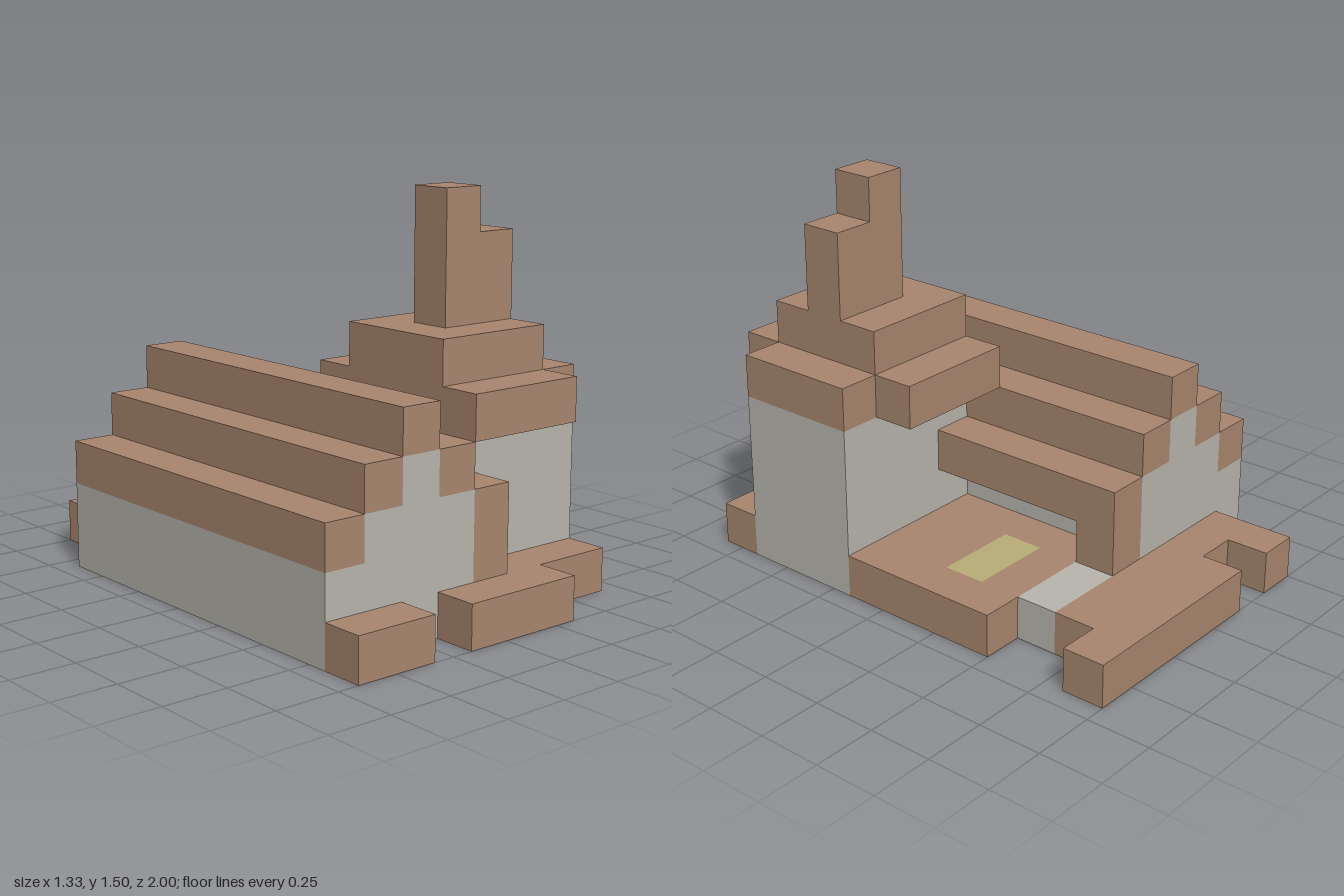
import * as THREE from 'three';
import { mergeGeometries } from 'three/addons/utils/BufferGeometryUtils.js';

// All parts are blocks on a grid of 1/6 unit cells; only the outer shell is built, open underneath.
const CELL = 1 / 6;

const makeMaterial = (name, color) => {
  const m = new THREE.MeshStandardMaterial({ color, side: THREE.DoubleSide });
  m.name = name;
  return m;
};

// Face directions with the rotation that turns a +z plane towards them
const FACES = [
  [1, 0, 0, 0, Math.PI / 2], [-1, 0, 0, 0, -Math.PI / 2],
  [0, 1, 0, -Math.PI / 2, 0], [0, -1, 0, Math.PI / 2, 0],
  [0, 0, 1, 0, 0], [0, 0, -1, 0, Math.PI],
];

export function createModel() {
  const wood = makeMaterial('brown wood', 0xa8866e);
  const plaster = makeMaterial('grey plaster', 0xb8b5ad);
  const straw = makeMaterial('straw', 0xb8ae78);

  // Gabled roof: one long bar per step, mirrored about the ridge
  const roofBars = [[-2, -1, 4, 5, -4, 5]];
  for (let i = 1; i <= 2; i++) {
    roofBars.push([-2 - i, -1 - i, 4 - i, 5 - i, -4, 5]);
    if (i === 1) roofBars.push([-1, 0, 3, 4, -4, 5]);
  }

  // Boxes are [x0, x1, y0, y1, z0, z1] in cells
  const parts = [
    ['houseWalls', plaster, [[-4, 0, 0, 2, -4, 5], [-3, 0, 2, 3, -4, 5], [-2, -1, 3, 4, -4, 5]]],
    ['houseRoof', wood, roofBars],
    ['sideEave', wood, [[0, 1, 2, 3, -4, 1]]],
    ['eavePosts', wood, [[0, 1, 0, 3, -4, -3], [0, 1, 0, 3, 4, 5]]],
    ['towerWalls', plaster, [[0, 4, 0, 4, 1, 4]]],
    ['towerRoof', wood, [[0, 4, 4, 5, 1, 4], [0, 3, 4, 5, 0, 5], [0, 3, 5, 6, 1, 4]]],
    ['chimney', wood, [[1, 2, 6, 9, 2, 3], [2, 3, 6, 8, 2, 3]]],
    ['sideTerrace', wood, [[0, 4, 0, 1, -3, 1]]],
    ['strawPatch', straw, [[1, 3, 0, 1, -2, -1]]],
    ['stoneSlab', plaster, [[1, 3, 0, 1, -4, -3]]],
    ['frontTerrace', wood, [[0, 4, 0, 1, 4, 5], [-1, 2, 0, 1, 5, 6], [-4, -2, 0, 1, 5, 6]]],
    ['backTerrace', wood, [[-3, 3, 0, 1, -5, -4], [-3, -2, 0, 1, -6, -5], [-1, 4, 0, 1, -6, -5]]],
  ];

  // Fill the grid; later parts replace earlier ones
  const cells = new Map();
  const key = (x, y, z) => `${x},${y},${z}`;
  parts.forEach(([, , boxes], part) => {
    for (const [x0, x1, y0, y1, z0, z1] of boxes)
      for (let x = x0; x < x1; x++)
        for (let y = y0; y < y1; y++)
          for (let z = z0; z < z1; z++) cells.set(key(x, y, z), { x, y, z, part });
  });

  // Collect the exposed faces of every part
  const faces = parts.map(() => []);
  for (const { x, y, z, part } of cells.values()) {
    for (const [dx, dy, dz, rx, ry] of FACES) {
      if (cells.has(key(x + dx, y + dy, z + dz)) || y + dy < 0) continue;
      faces[part].push(new THREE.PlaneGeometry(1, 1)
        .rotateX(rx).rotateY(ry)
        .translate(x + 0.5 + dx / 2, y + 0.5 + dy / 2, z + 0.5 + dz / 2)
        .scale(CELL, CELL, CELL));
    }
  }

  const group = new THREE.Group();
  group.name = 'cottage';
  parts.forEach(([name, material], i) => {
    if (!faces[i].length) return;
    const mesh = new THREE.Mesh(mergeGeometries(faces[i]), material);
    mesh.name = name;
    group.add(mesh);
  });
  return group;
}
